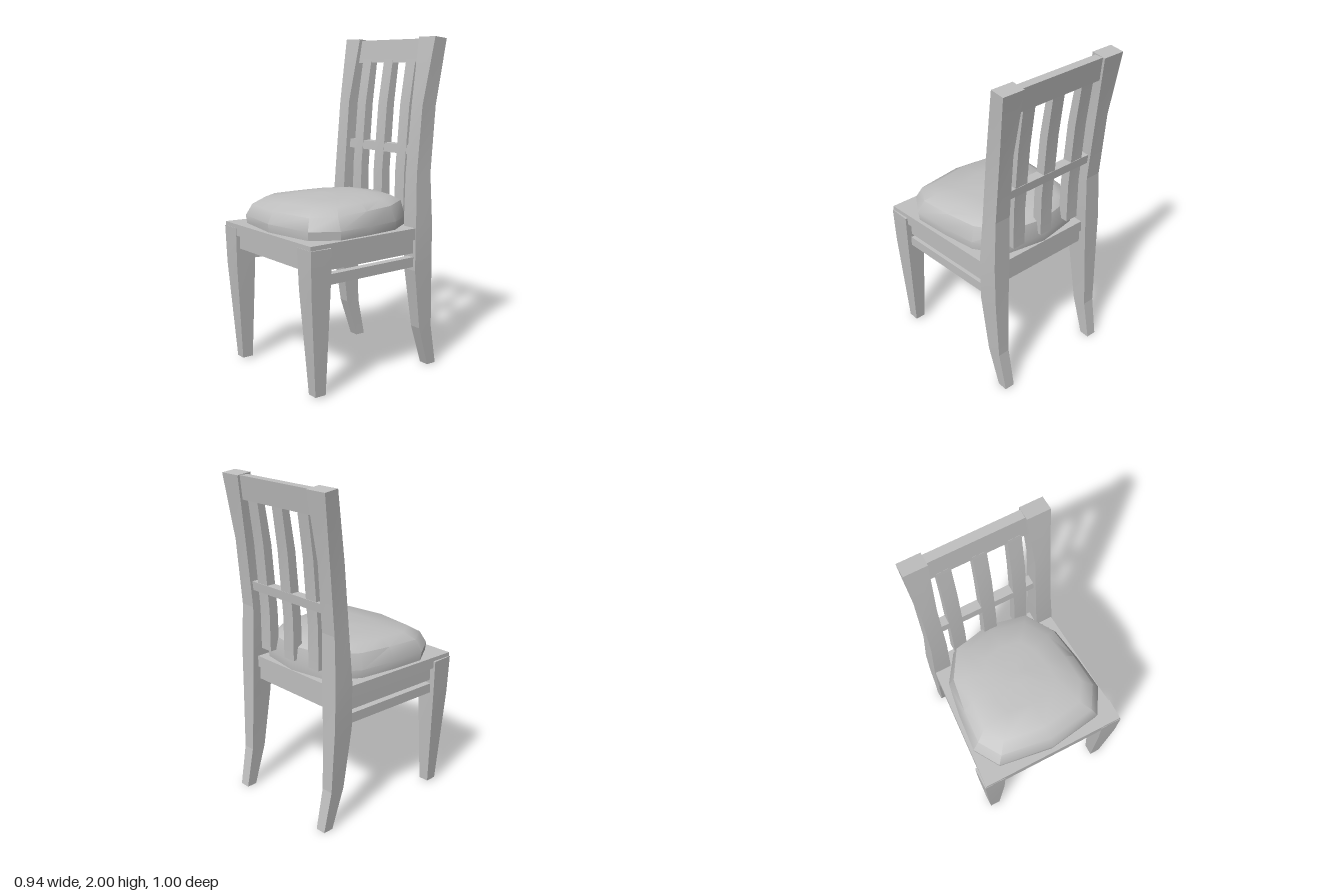
import * as THREE from 'three';
import { toCreasedNormals } from 'three/addons/utils/BufferGeometryUtils.js';

// Skin stacked rings of [x, y, z] points (anticlockwise from above), capped at both ends
function loft(rings, crease = 0.1) {
  const n = rings[0].length;
  const pos = rings.flat(2);
  const index = [];
  for (let r = 0; r < rings.length - 1; r++) {
    for (let i = 0; i < n; i++) {
      const j = (i + 1) % n, a = r * n, b = a + n;
      index.push(a + i, a + j, b + j, a + i, b + j, b + i);
    }
  }
  [0, rings.length - 1].forEach((r) => {
    const c = pos.length / 3;
    for (let k = 0; k < 3; k++) pos.push(rings[r].reduce((s, p) => s + p[k], 0) / n);
    for (let i = 0; i < n; i++) {
      const a = r * n + i, b = r * n + (i + 1) % n;
      if (r) index.push(c, a, b);
      else index.push(c, b, a);
    }
  });
  const g = new THREE.BufferGeometry();
  g.setAttribute('position', new THREE.Float32BufferAttribute(pos, 3));
  g.setIndex(index);
  return toCreasedNormals(g, crease);
}

// Rectangular ring; the back edge may sit lower by drop
const rect = (y, x0, x1, z0, z1, drop = 0) => {
  const l = Math.min(x0, x1), r = Math.max(x0, x1);
  return [[l, y, z1], [r, y, z1], [r, y - drop, z0], [l, y - drop, z0]];
};

// Four-cornered slab that tapers in plan from front to back
const taper = (y0, y1, fl, fr, zf, bl, br, zb) =>
  loft([y0, y1].map((y) => [[fl, y, zf], [fr, y, zf], [br, y, zb], [bl, y, zb]]));

export function createModel() {
  const group = new THREE.Group();
  const grey = new THREE.MeshStandardMaterial({ color: 0xc0c0c0 });
  grey.name = 'plain grey';
  const add = (name, geometry) => {
    const mesh = new THREE.Mesh(geometry, grey);
    mesh.name = name;
    group.add(mesh);
  };

  // Seat frame and the apron beneath it
  add('seatFrame', taper(0.81, 0.88, -0.462, 0.462, 0.5, -0.405, 0.405, -0.385));
  add('apron', taper(0.725, 0.81, -0.435, 0.435, 0.475, -0.385, 0.385, -0.37));

  for (const s of [1, -1]) {
    const side = s > 0 ? 'left' : 'right';

    // Tapered front leg
    add(side + 'FrontLeg', loft([
      rect(0.01, s * 0.365, s * 0.43, 0.38, 0.45),
      rect(0.62, s * 0.34, s * 0.46, 0.367, 0.495),
      rect(0.855, s * 0.333, s * 0.468, 0.363, 0.502),
    ]));

    // Swept back leg continuing up as the back post
    add(side + 'BackPost', loft([
      [0, 0.325, 0.39, -0.49, -0.425],
      [0.25, 0.325, 0.4, -0.44, -0.345],
      [0.62, 0.315, 0.412, -0.425, -0.292],
      [0.9, 0.305, 0.415, -0.42, -0.292],
      [1.2, 0.3, 0.4, -0.413, -0.305],
      [1.6, 0.305, 0.4, -0.445, -0.34],
      [2, 0.283, 0.424, -0.5, -0.41],
    ].map(([y, a, b, z0, z1]) => rect(y, s * a, s * b, z0, z1, y === 2 ? 0.01 : 0))));

    // Side stretcher
    const f = s * 0.41, b = s * 0.368, w = 0.025;
    add(side + 'Stretcher', taper(0.642, 0.702, f - w, f + w, 0.39, b - w, b + w, -0.32));
  }

  // Cross rails of the back
  add('topRail', loft([
    rect(1.85, -0.31, 0.31, -0.465, -0.41),
    rect(1.99, -0.31, 0.31, -0.485, -0.43),
  ]));
  add('middleRail', loft([
    rect(1.305, -0.31, 0.31, -0.405, -0.345),
    rect(1.36, -0.31, 0.31, -0.41, -0.35),
  ]));

  // Three curved back slats
  for (const x of [-0.207, 0.003, 0.211]) {
    add('backSlat', loft([
      [0.95, -0.395, -0.33], [1.2, -0.395, -0.335],
      [1.6, -0.425, -0.368], [1.87, -0.46, -0.412],
    ].map(([y, z0, z1]) => rect(y, x - 0.042, x + 0.042, z0, z1))));
  }

  // Padded cushion: half outlines (x, z) from front to back, mirrored into rings
  const mirrored = (half) => {
    const inner = half.slice(1, -1);
    return [...half, ...inner.reverse().map(([x, z]) => [-x, z])];
  };
  const outer = mirrored([[0, 0.48], [0.335, 0.43], [0.43, 0.275], [0.41, 0.05],
    [0.375, -0.17], [0.26, -0.34], [0, -0.385]]);
  const rim = mirrored([[0, 0.445], [0.305, 0.4], [0.39, 0.265], [0.375, 0.05],
    [0.345, -0.15], [0.24, -0.32], [0, -0.37]]);
  const level = (pts, y, k = 1, rise = 0) =>
    pts.map(([x, z]) => [x * k, y - rise * z, z * k]);
  add('cushion', loft([
    level(outer, 0.87, 0.985),
    level(outer, 0.93),
    level(rim, 1.015, 1, 0.035),
    level(rim, 1.053, 0.84, 0.02),
    level(rim, 1.07, 0.5, 0.02),
    level(rim, 1.078, 0.15),
  ], 0.6));

  return group;
}
